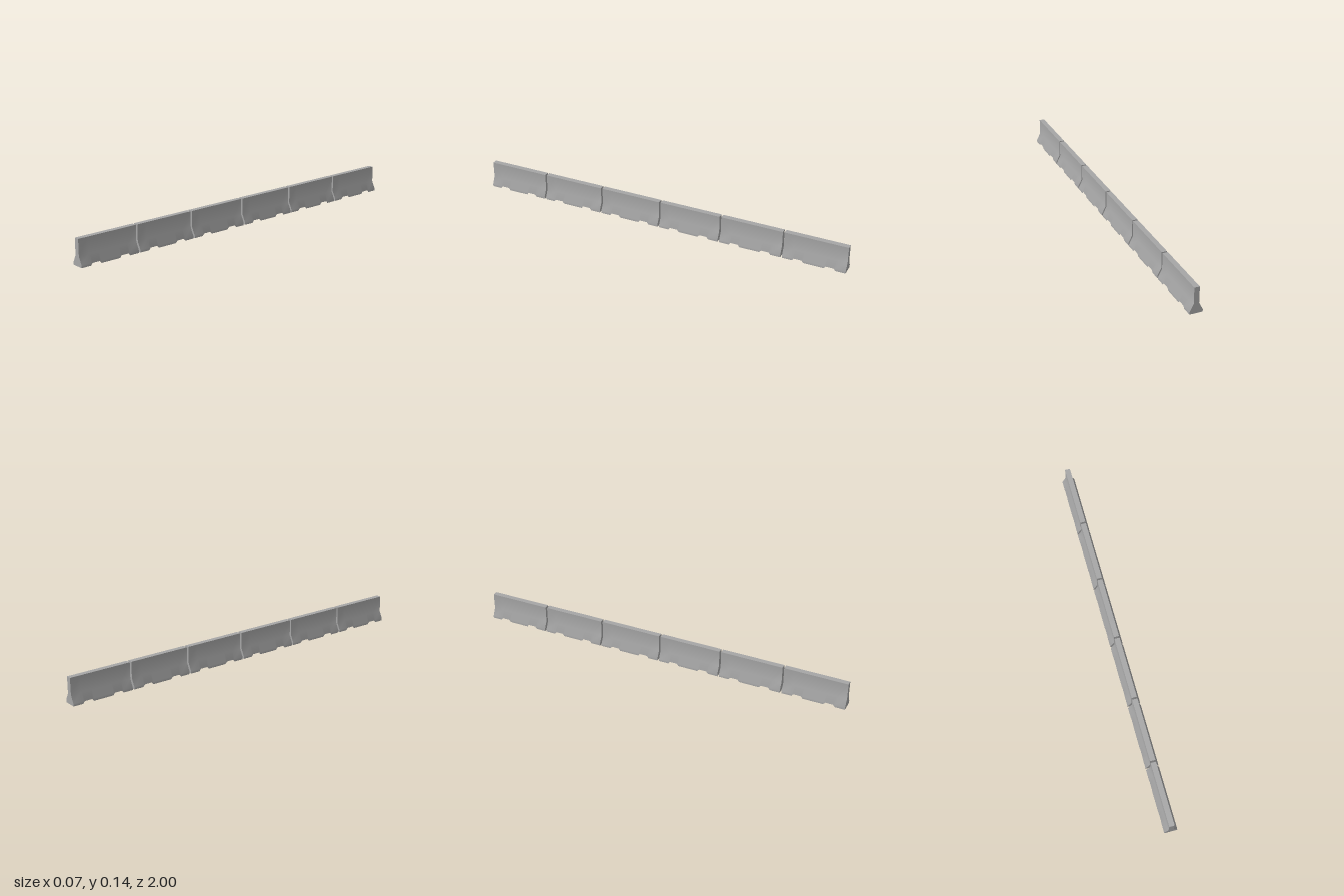
import * as THREE from 'three';
import { toCreasedNormals } from 'three/addons/utils/BufferGeometryUtils.js';

const COUNT = 6, GAP = 0.009;
const LENGTH = (2 - GAP * (COUNT - 1)) / COUNT;

// Half cross-section, [half width, height], from the foot up
const HALF = [[0.033, 0], [0.033, 0.0125], [0.0135, 0.052], [0.0135, 0.136]];
const PROFILE = [...HALF, ...HALF.map(([x, y]) => [-x, y]).reverse()];

// Sides and top as one sheet; the lowest row follows the drainage notches
function shellGeometry() {
  const columns = [[-LENGTH / 2, 0]];
  for (const c of [-0.082, 0.082]) {
    columns.push([c - 0.029, 0], [c - 0.02, 0.0115], [c + 0.02, 0.0115], [c + 0.029, 0]);
  }
  columns.push([LENGTH / 2, 0]);
  const positions = [], indices = [], rows = PROFILE.length;
  for (const [z, lift] of columns) {
    for (const [x, y] of PROFILE) positions.push(x, Math.max(y, lift), z);
  }
  for (let i = 0; i < columns.length - 1; i++) {
    for (let j = 0; j < rows - 1; j++) {
      const a = i * rows + j, b = a + rows;
      indices.push(a, a + 1, b, b, a + 1, b + 1);
    }
  }
  const geometry = new THREE.BufferGeometry();
  geometry.setAttribute('position', new THREE.Float32BufferAttribute(positions, 3));
  geometry.setIndex(indices);
  return toCreasedNormals(geometry, 0.7);
}

export function createModel() {
  const model = new THREE.Group();
  model.name = 'concreteBarrierRow';
  const concrete = new THREE.MeshStandardMaterial({ color: 0xa6a6a6, side: THREE.DoubleSide });
  concrete.name = 'concrete grey';

  const shell = shellGeometry();
  const endCap = new THREE.ShapeGeometry(new THREE.Shape(PROFILE.map(([x, y]) => new THREE.Vector2(x, y))));

  for (let i = 0; i < COUNT; i++) {
    const barrier = new THREE.Group();
    barrier.name = `barrier${i + 1}`;
    barrier.position.z = -1 + LENGTH / 2 + i * (LENGTH + GAP);

    const body = new THREE.Mesh(shell, concrete);
    body.name = 'barrierShell';
    barrier.add(body);

    // End faces; the underside stays open
    for (const side of [1, -1]) {
      const end = new THREE.Mesh(endCap, concrete);
      end.name = side > 0 ? 'frontEnd' : 'backEnd';
      end.position.z = side * LENGTH / 2;
      if (side < 0) end.rotation.y = Math.PI;
      barrier.add(end);
    }
    model.add(barrier);
  }
  return model;
}
